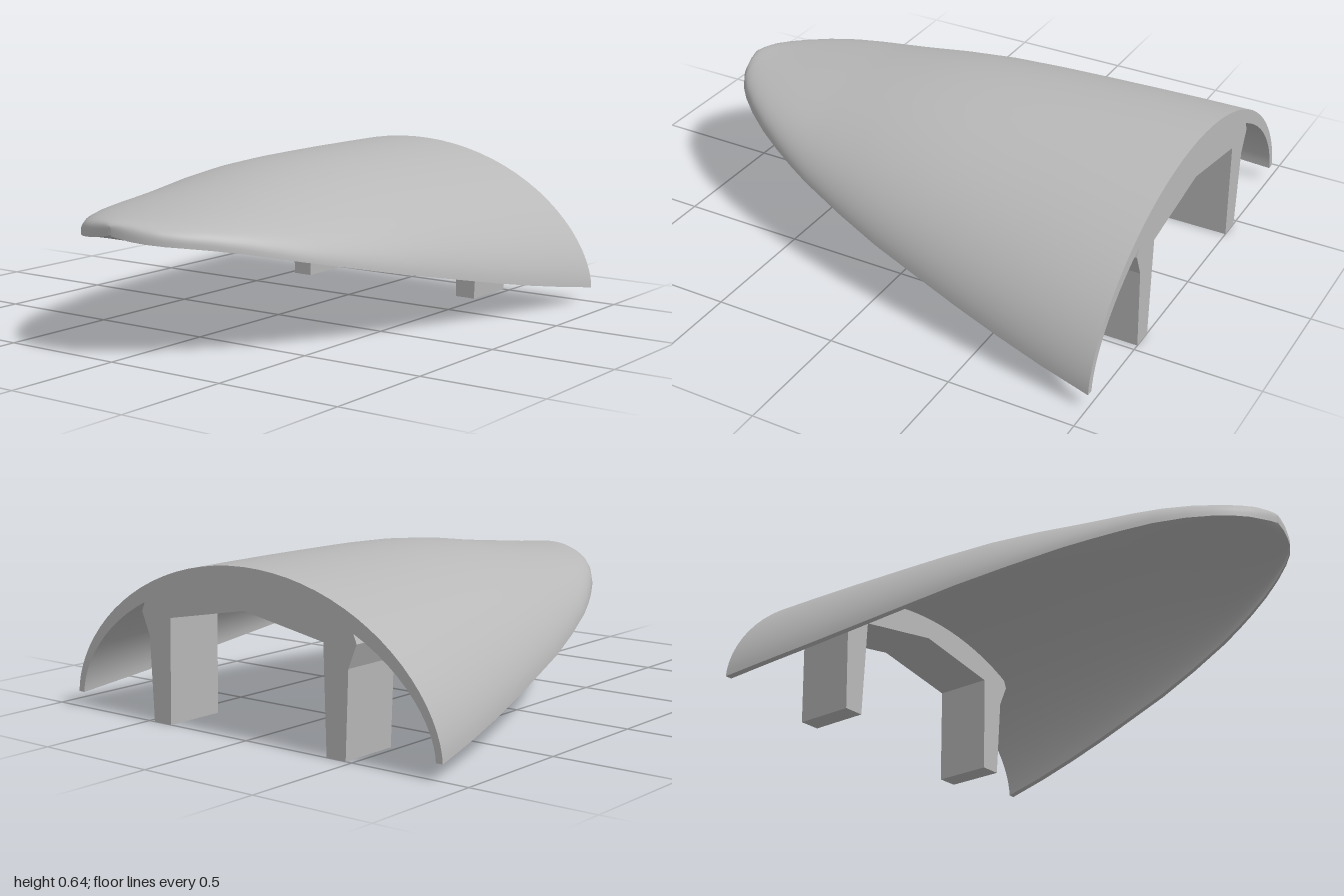
import * as THREE from 'three';

// Stations along the shell: z, half width, crown height, rim height
const STATIONS = [
  [-1, 0.893, 0.637, 0.06], [-0.8, 0.86, 0.639, 0.09], [-0.6, 0.82, 0.64, 0.123],
  [-0.4, 0.777, 0.639, 0.16], [-0.2, 0.73, 0.637, 0.2], [0, 0.682, 0.629, 0.24],
  [0.2, 0.62, 0.61, 0.282], [0.4, 0.548, 0.58, 0.326], [0.5, 0.503, 0.567, 0.348],
  [0.6, 0.453, 0.555, 0.371], [0.7, 0.396, 0.542, 0.394], [0.8, 0.325, 0.53, 0.414],
  [0.88, 0.255, 0.521, 0.427], [0.93, 0.2, 0.518, 0.434], [0.965, 0.145, 0.516, 0.441],
  [0.985, 0.09, 0.511, 0.448], [0.996, 0.045, 0.505, 0.456], [1, 0.008, 0.497, 0.463],
];
const ARC = 40;
const WALL = 0.07;

// One arched cross-section, outer or inner skin
function section([z, w, top, rim], inner) {
  const blunt = THREE.MathUtils.smoothstep(z, 0.3, 1);
  const power = THREE.MathUtils.lerp(0.58, 0.32, blunt);
  const half = inner ? w * 0.968 : w;
  const height = inner ? Math.max(top - rim - WALL, 0.004) : top - rim;
  const points = [];
  for (let j = 0; j <= ARC; j++) {
    const a = (Math.PI * j) / ARC;
    const rise = Math.pow(Math.max(Math.sin(a), 0), 2 * power);
    points.push(new THREE.Vector3(-Math.cos(a) * half, rim + height * rise, z));
  }
  return points;
}

// Skin a list of equally long rows of points
function loft(rows, flip = false) {
  const n = rows[0].length;
  const index = [];
  for (let i = 0; i < rows.length - 1; i++) {
    for (let j = 0; j < n - 1; j++) {
      const a = i * n + j, b = a + n, c = b + 1, d = a + 1;
      if (flip) index.push(a, d, b, d, c, b);
      else index.push(a, b, d, d, b, c);
    }
  }
  const geometry = new THREE.BufferGeometry().setFromPoints(rows.flat());
  geometry.setIndex(index);
  geometry.computeVertexNormals();
  return geometry;
}

export function createModel() {
  const group = new THREE.Group();
  const grey = new THREE.MeshStandardMaterial({ color: 0xb8b8b8 });
  grey.name = 'light grey';
  const add = (name, geometry) => {
    const mesh = new THREE.Mesh(geometry, grey);
    mesh.name = name;
    group.add(mesh);
  };

  const outer = STATIONS.map((s) => section(s, false));
  const inner = STATIONS.map((s) => section(s, true));
  const last = STATIONS.length - 1;

  // Curved shell, its hollow underside, and the closing faces
  add('outerShell', loft(outer));
  add('innerShell', loft(inner, true));
  add('rearFace', loft([inner[0], outer[0]]));
  add('noseTip', loft([inner[last], outer[last]], true));
  add('rightRim', loft(outer.map((row, i) => [row[0], inner[i][0]]), true));
  add('leftRim', loft(outer.map((row, i) => [inner[i][ARC], row[ARC]]), true));

  // Rear brace: two legs joined by a shallow arched crossbar
  const half = [
    [0.375, 0.41], [0.385, 0], [0.472, 0], [0.487, 0.33], [0.525, 0.42], [0.5, 0.48], [0.3, 0.56],
  ];
  const outline = [
    [0, 0.478], ...half, [0, 0.6], ...half.map(([x, y]) => [-x, y]).reverse(),
  ].map(([x, y]) => new THREE.Vector2(x, y));
  const brace = new THREE.ExtrudeGeometry(new THREE.Shape(outline), { depth: 0.25, bevelEnabled: false });
  brace.translate(0, 0, -1);
  add('rearBrace', brace);

  return group;
}
